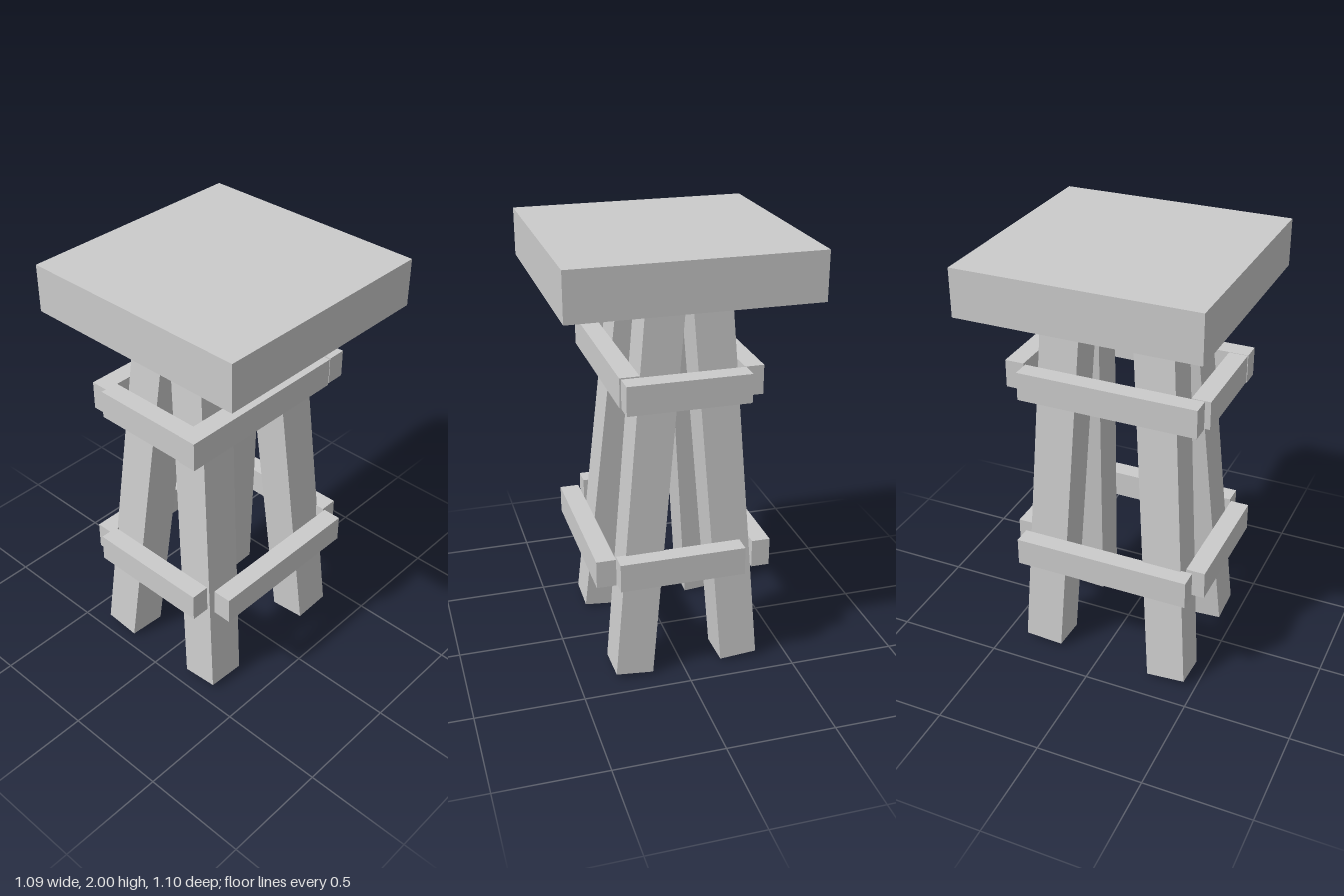
import * as THREE from 'three';

const material = new THREE.MeshStandardMaterial({ color: 0xcccccc, flatShading: true });
const UP = new THREE.Vector3(0, 1, 0);

// Axis-aligned block given by its extents
function block(name, [x0, x1], [y0, y1], [z0, z1]) {
  const mesh = new THREE.Mesh(new THREE.BoxGeometry(x1 - x0, y1 - y0, z1 - z0), material);
  mesh.position.set((x0 + x1) / 2, (y0 + y1) / 2, (z0 + z1) / 2);
  mesh.name = name;
  return mesh;
}

// Square post leaning from its foot centre to its top centre
function leg(name, [footX, footZ], [topX, topZ]) {
  const foot = new THREE.Vector3(footX, 0.015, footZ);
  const top = new THREE.Vector3(topX, 1.775, topZ);
  const axis = top.clone().sub(foot);
  const mesh = new THREE.Mesh(new THREE.BoxGeometry(0.185, axis.length(), 0.175), material);
  mesh.position.copy(foot).add(top).multiplyScalar(0.5);
  mesh.quaternion.setFromUnitVectors(UP, axis.normalize());
  mesh.name = name;
  return mesh;
}

export function createModel() {
  const stool = new THREE.Group();
  stool.name = 'stool';

  // Thick square seat
  stool.add(block('seat', [-0.547, 0.547], [1.782, 2], [-0.548, 0.548]));

  // Four splayed legs, each leaning a little differently
  stool.add(
    leg('frontLeftLeg', [0.305, 0.24], [0.23, 0.07]),
    leg('frontRightLeg', [-0.34, 0.24], [-0.222, 0.068]),
    leg('backLeftLeg', [0.297, -0.267], [0.215, -0.137]),
    leg('backRightLeg', [-0.355, -0.292], [-0.21, -0.145]),
  );

  // Upper ring of rails
  const upper = new THREE.Group();
  upper.name = 'upperRails';
  upper.add(
    block('frontRail', [-0.49, 0.375], [1.34, 1.475], [0.2, 0.288]),
    block('backRail', [-0.46, 0.376], [1.337, 1.47], [-0.35, -0.265]),
    block('leftRail', [0.385, 0.475], [1.342, 1.473], [-0.265, 0.283]),
    block('rightRail', [-0.487, -0.4], [1.342, 1.473], [-0.265, 0.28]),
  );

  // Lower ring of rails
  const lower = new THREE.Group();
  lower.name = 'lowerRails';
  lower.add(
    block('frontRail', [-0.405, 0.375], [0.49, 0.62], [0.315, 0.405]),
    block('backRail', [-0.45, 0.385], [0.49, 0.622], [-0.405, -0.32]),
    block('leftRail', [0.365, 0.45], [0.497, 0.63], [-0.265, 0.313]),
    block('rightRail', [-0.508, -0.42], [0.5, 0.634], [-0.316, 0.284]),
  );

  stool.add(upper, lower);
  return stool;
}
